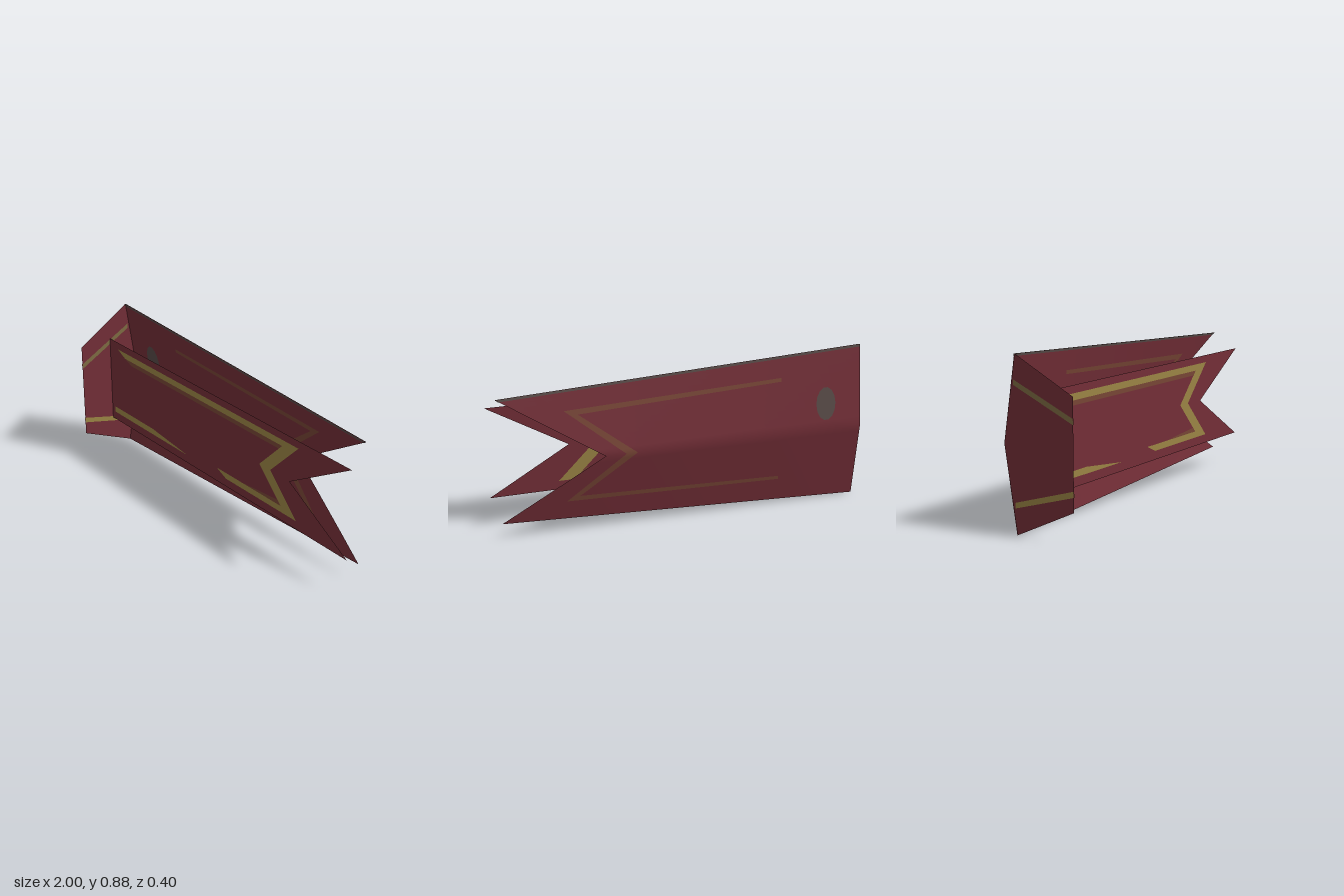
import * as THREE from 'three';
import { mergeGeometries, mergeVertices } from 'three/addons/utils/BufferGeometryUtils.js';

const mat = (name, color) => {
  const m = new THREE.MeshStandardMaterial({ color, side: THREE.DoubleSide });
  m.name = name;
  return m;
};

// Surfaces: map two sheet coordinates to a point, with an offset off the face
const MID = 0.445;
const frontSurf = (x, y, o) => [x, y, o];
const sideSurf = (z, y, o) => [-1 + (z + 0.195) * 0.038 + o, y, z];
const backSurf = (x, y, o) => {
  const s = (x + 1) / 1.96;
  const half = y > MID ? 0.435 - 0.09 * s : 0.445 - 0.095 * s;
  const ridge = -0.19 - 0.007 * (x + 1);
  const edge = -0.122 - 0.004 * s;
  return [x, y, ridge + (edge - ridge) * Math.abs(y - MID) / half + o];
};

// Bilinear patch between four corners, laid on a surface
function patch(surf, [a, b, c, d], offset = 0, n = 10) {
  const pos = [], idx = [];
  for (let j = 0; j <= n; j++) for (let i = 0; i <= n; i++) {
    const u = i / n, v = j / n;
    const at = k => (a[k] * (1 - u) + b[k] * u) * (1 - v) + (d[k] * (1 - u) + c[k] * u) * v;
    pos.push(...surf(at(0), at(1), offset));
    if (i < n && j < n) {
      const p = j * (n + 1) + i;
      idx.push(p, p + 1, p + n + 2, p, p + n + 2, p + n + 1);
    }
  }
  const g = new THREE.BufferGeometry();
  g.setAttribute('position', new THREE.Float32BufferAttribute(pos, 3));
  g.setIndex(idx);
  return g;
}

function finish(parts, name, material) {
  const g = mergeVertices(mergeGeometries(parts), 1e-5);
  g.computeVertexNormals();
  const m = new THREE.Mesh(g, material);
  m.name = name;
  return m;
}

const sheet = (name, material, surf, quads) =>
  finish(quads.map(q => patch(surf, q)), name, material);

// Painted marks repeat on both faces of a sheet
const marks = (name, material, surf, quads) =>
  finish([-0.003, 0.003].flatMap(o => quads.map(q => patch(surf, q, o))), name, material);

export function createModel() {
  const red = mat('dark red cloth', 0x732e37);
  const gold = mat('gold trim', 0x9a8444);
  const olive = mat('faded gold trim', 0x7d6b42);
  const brown = mat('brown trim', 0x774535);
  const grey = mat('worn grey', 0x584a47);
  const group = new THREE.Group();
  group.name = 'ribbonBanner';

  // Flat front sheet with a swallowtail end
  group.add(sheet('frontSheet', red, frontSurf, [
    [[-0.99, 0.445], [0.57, 0.445], [1, 0.7], [-0.99, 0.7]],
    [[-0.99, 0.19], [1, 0.19], [0.57, 0.445], [-0.99, 0.445]],
  ]));
  group.add(marks('frontTrim', gold, frontSurf, [
    [[-0.84, 0.625], [0.51, 0.625], [0.63, 0.66], [-0.91, 0.66]],
    [[0.34, 0.45], [0.425, 0.45], [0.63, 0.66], [0.51, 0.625]],
    [[0.51, 0.275], [0.63, 0.24], [0.425, 0.45], [0.34, 0.45]],
    [[0.07, 0.24], [0.63, 0.24], [0.51, 0.275], [-0.01, 0.275]],
    [[-0.96, 0.24], [-0.27, 0.24], [-0.59, 0.275], [-0.96, 0.275]],
  ]));
  group.add(marks('frontTrimShade', brown, frontSurf, [
    [[-0.78, 0.6], [0.49, 0.6], [0.51, 0.625], [-0.84, 0.625]],
    [[0.2, 0.275], [0.51, 0.275], [0.48, 0.3], [0.3, 0.285]],
  ]));

  // Back sheet, folded along its ridge
  group.add(sheet('backSheet', red, backSurf, [
    [[-1, MID], [0.42, MID], [0.96, 0.79], [-1, 0.88]],
    [[-1, 0], [0.96, 0.095], [0.42, MID], [-1, MID]],
  ]));
  group.add(marks('backTrim', brown, backSurf, [
    [[-0.55, 0.725], [0.55, 0.675], [0.62, 0.7], [-0.55, 0.745]],
    [[0.25, MID], [0.31, MID], [0.62, 0.7], [0.55, 0.675]],
    [[0.55, 0.215], [0.62, 0.19], [0.31, MID], [0.25, MID]],
    [[-0.55, 0.155], [0.62, 0.19], [0.55, 0.215], [-0.55, 0.175]],
  ]));
  group.add(marks('backTopEdge', grey, backSurf, [
    [[-1, 0.868], [0.945, 0.779], [0.96, 0.79], [-1, 0.88]],
  ]));

  // Worn patch near the fold
  const spots = [-0.004, 0.004].map(o => {
    const g = new THREE.CircleGeometry(1, 14);
    const p = g.attributes.position;
    for (let i = 0; i < p.count; i++)
      p.setXYZ(i, ...backSurf(-0.8 + p.getX(i) * 0.055, 0.58 + p.getY(i) * 0.09, o));
    g.deleteAttribute('uv');
    g.deleteAttribute('normal');
    return g;
  });
  group.add(finish(spots, 'wornPatch', grey));

  // Side sheet running forward from the back sheet
  group.add(sheet('sideSheet', red, sideSurf, [
    [[0.2, 0.43], [-0.19, MID], [-0.122, 0.88], [0.2, 0.7]],
    [[0.2, 0.15], [-0.122, 0], [-0.19, MID], [0.2, 0.43]],
  ]));
  group.add(marks('sideUpperTrim', olive, sideSurf, [
    [[0.2, 0.568], [-0.13, 0.73], [-0.13, 0.757], [0.2, 0.597]],
  ]));
  group.add(marks('sideLowerTrim', gold, sideSurf, [
    [[0.2, 0.223], [-0.13, 0.132], [-0.13, 0.16], [0.2, 0.253]],
  ]));
  return group;
}
